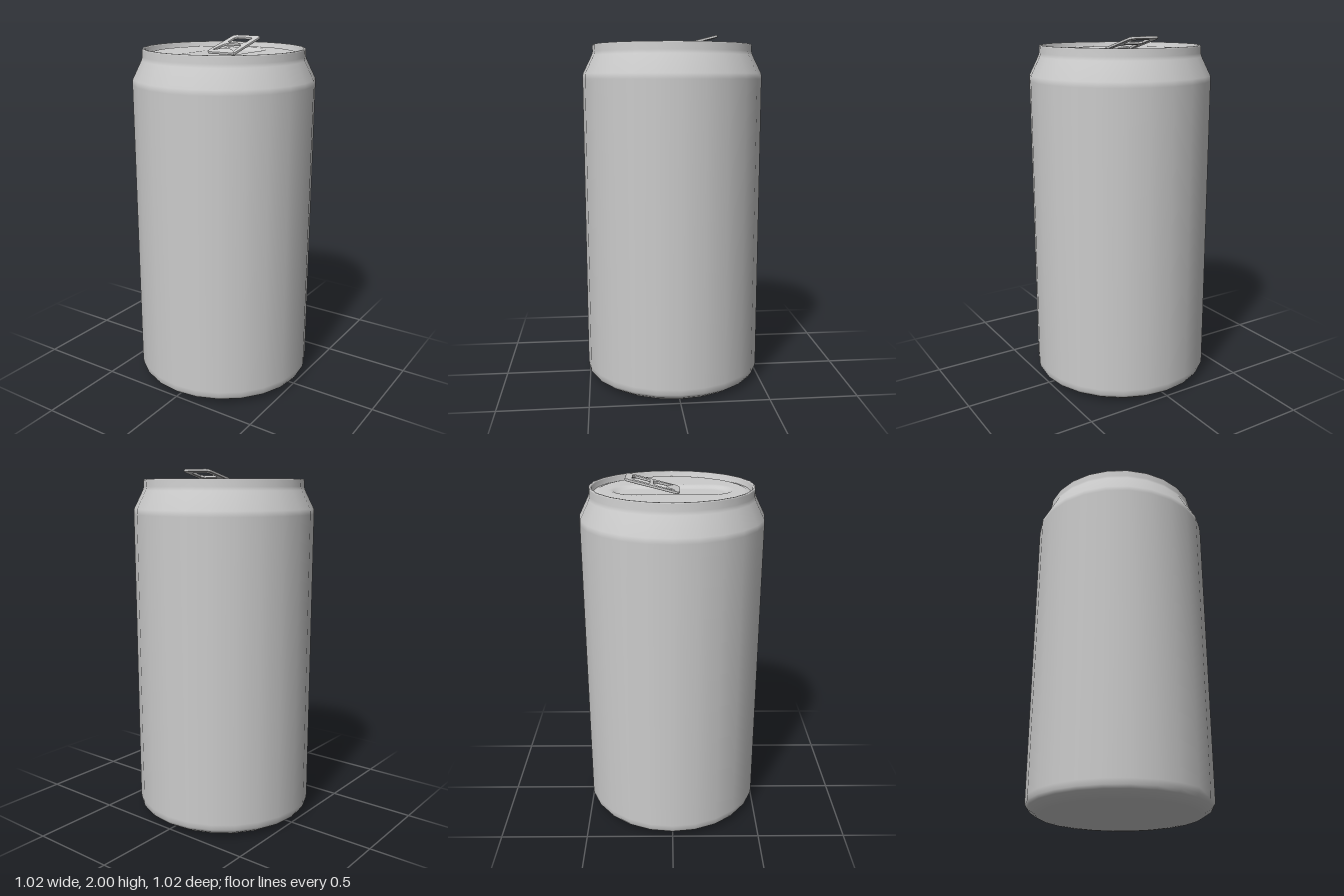
import * as THREE from 'three';

const SIDES = 24;
const grey = new THREE.MeshStandardMaterial({ color: 0xcccccc });
const points = (list) => list.map(([x, y]) => new THREE.Vector2(x, y));

function part(name, geometry) {
  const mesh = new THREE.Mesh(geometry, grey);
  mesh.name = name;
  return mesh;
}

// Can wall: base, chamfer, straight side, sloping neck and rolled rim
function makeBody() {
  const profile = points([
    [0, 0], [0.42, 0], [0.455, 0.004], [0.497, 0.032], [0.508, 0.05], [0.51, 0.08],
    [0.51, 1.755], [0.508, 1.785], [0.458, 1.885], [0.452, 1.905], [0.452, 1.94],
    [0.448, 1.946], [0.44, 1.946], [0.436, 1.94], [0.43, 1.915], [0.424, 1.912],
  ]);
  return new THREE.LatheGeometry(profile, SIDES);
}

// Lid: a fine disc trimmed to the rim's polygon, with a shallow rounded slot pressed in
function makeLid() {
  const rings = 40;
  const profile = [];
  for (let i = rings; i >= 0; i--) profile.push(new THREE.Vector2((0.428 * i) / rings, 0));
  const lid = new THREE.LatheGeometry(profile, SIDES * 4);
  const pos = lid.attributes.position;
  const step = (2 * Math.PI) / SIDES;
  for (let i = 0; i < pos.count; i++) {
    const angle = Math.atan2(pos.getX(i), pos.getZ(i)) + 2 * Math.PI;
    const trim = Math.cos(step / 2) / Math.cos((angle % step) - step / 2);
    const x = pos.getX(i) * trim;
    const z = pos.getZ(i) * trim;
    // Distance from the slot's spine decides how deep the metal is pressed
    const distance = Math.hypot(x, z - THREE.MathUtils.clamp(z, -0.2, 0.2));
    const dent = 1 - THREE.MathUtils.smoothstep(distance, 0.09, 0.135);
    const groove = THREE.MathUtils.smoothstep(Math.hypot(x, z), 0.395, 0.42);
    pos.setXYZ(i, x, 1.922 - 0.016 * dent - 0.008 * groove, z);
  }
  lid.computeVertexNormals();
  return lid;
}

// Pull tab: rounded plate with a finger hole and a flared hole around the rivet tongue
function makeTab() {
  const w = 0.089, back = 0.256, front = -0.037, r = 0.025;
  const outline = new THREE.Shape();
  outline.moveTo(-w + r, front);
  outline.lineTo(w - r, front);
  outline.quadraticCurveTo(w, front, w, front + r);
  outline.lineTo(w, back - r);
  outline.quadraticCurveTo(w, back, w - r, back);
  outline.lineTo(-w + r, back);
  outline.quadraticCurveTo(-w, back, -w, back - r);
  outline.lineTo(-w, front + r);
  outline.quadraticCurveTo(-w, front, -w + r, front);

  const fingerHole = new THREE.Path(points([
    [-0.061, 0.14], [-0.061, 0.21], [-0.046, 0.226], [0.046, 0.226],
    [0.061, 0.21], [0.061, 0.14], [0.046, 0.122], [-0.046, 0.122],
  ]));
  const rivetHole = new THREE.Path(points([
    [-0.071, -0.013], [-0.062, 0.085], [-0.042, 0.109], [0.042, 0.109],
    [0.062, 0.085], [0.071, -0.013], [0.045, 0.008], [0.025, 0.022],
    [0, 0.027], [-0.025, 0.022], [-0.045, 0.008],
  ]));
  outline.holes.push(fingerHole, rivetHole);

  const tab = new THREE.ExtrudeGeometry(outline, {
    depth: 0.006, bevelEnabled: true, bevelThickness: 0.004,
    bevelSize: 0.004, bevelSegments: 2, curveSegments: 4,
  });
  return tab.rotateX(-Math.PI / 2);
}

export function createModel() {
  const can = new THREE.Group();
  can.name = 'drinkCan';
  can.add(part('body', makeBody()), part('lid', makeLid()));

  // The tab is lifted at the back
  const tab = part('pullTab', makeTab());
  tab.rotation.x = 0.25;
  tab.position.y = 1.925;
  can.add(tab);
  return can;
}
